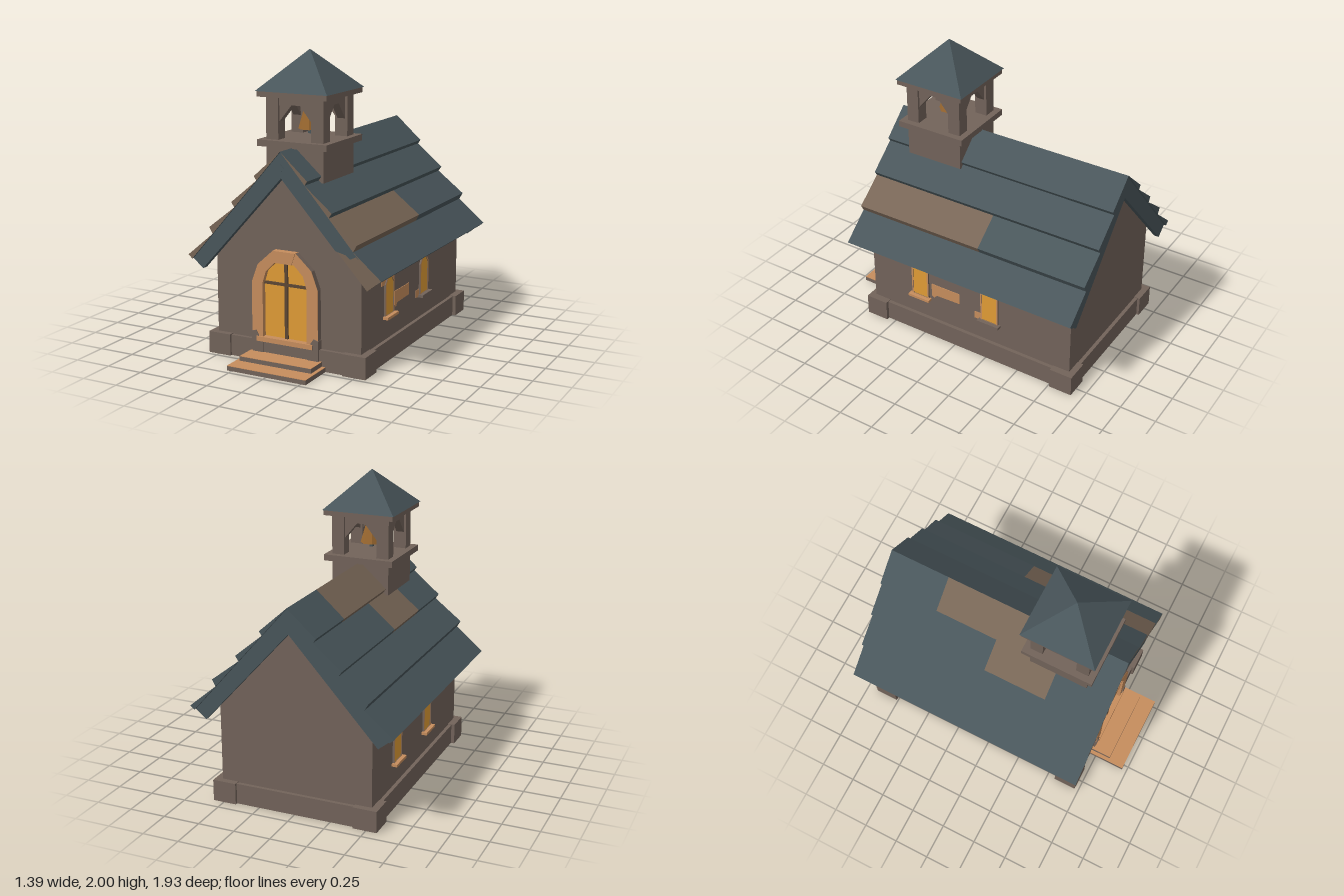
import * as THREE from 'three';

const mat = (name, color, side = THREE.FrontSide) => {
  const m = new THREE.MeshStandardMaterial({ color, side });
  m.name = name;
  return m;
};

export function createModel() {
  const stone = mat('stone', 0x72635a, THREE.DoubleSide);
  const slate = mat('slate', 0x49565b);
  const wood = mat('bareWood', 0x786656);
  const trim = mat('trim', 0xc68d5d, THREE.DoubleSide);
  const glass = mat('glass', 0xe09c36);
  const dark = mat('darkWood', 0x5c4733);
  const bronze = mat('bronze', 0x99672f);

  const model = new THREE.Group();
  model.name = 'chapel';

  const add = (name, geo, material, parent = model) => {
    const m = new THREE.Mesh(geo, material);
    m.name = name;
    parent.add(m);
    return m;
  };
  // box from its min and max corners
  const box = (name, x0, x1, y0, y1, z0, z1, material, parent) => {
    const m = add(name, new THREE.BoxGeometry(x1 - x0, y1 - y0, z1 - z0), material, parent);
    m.position.set((x0 + x1) / 2, (y0 + y1) / 2, (z0 + z1) / 2);
    return m;
  };
  // stone box standing on the ground without its underside, or without top and underside
  const openBox = (name, x0, x1, y0, y1, z0, z1, openTop = false) => {
    const geo = box(name, x0, x1, y0, y1, z0, z1, stone).geometry;
    const first = openTop ? 12 : 18;
    geo.setIndex([...geo.index.array].filter((_, i) => i < first || i >= 24));
    geo.clearGroups();
  };
  // outline in x,y pushed from z0 to z1, with an optional hole
  const slab = (name, pts, z0, z1, material, parent, hole) => {
    const toV = (l) => l.map(([x, y]) => new THREE.Vector2(x, y));
    const shape = new THREE.Shape(toV(pts));
    if (hole) shape.holes.push(new THREE.Path(toV(hole)));
    const geo = new THREE.ExtrudeGeometry(shape, { depth: z1 - z0, bevelEnabled: false });
    geo.translate(0, 0, z0);
    return add(name, geo, material, parent);
  };
  const flip = (pts, s) => pts.map(([x, y]) => [x * s, y]);
  // closed outline from its right half
  const sym = (half) => [...half, ...flip(half, -1).reverse()];

  // walls, with a raised floor inside the plinth
  slab('walls', [[-0.525, 0.13], [0.525, 0.13], [0.525, 0.69], [0, 1.28], [-0.525, 0.69]], -0.88, 0.68, stone);
  openBox('rearPlinth', -0.412, 0.412, 0, 0.14, -0.905, -0.8);
  for (const s of [-1, 1]) {
    const span = (a, b) => [Math.min(s * a, s * b), Math.max(s * a, s * b)];
    openBox('sidePlinth', ...span(0.45, 0.55), 0, 0.14, -0.762, 0.56);
    openBox('frontPlinth', ...span(0.24, 0.412), 0, 0.14, 0.6, 0.705);
    for (const z of [-0.842, 0.64])
      openBox('cornerBlock', ...span(0.412, 0.574), 0, 0.145, z - 0.081, z + 0.081);
    openBox('jambBase', ...span(0.16, 0.24), 0, 0.14, 0.66, 0.72);
    slab('jambFoot', flip([[0.19, 0.14], [0.243, 0.14], [0.243, 0.2], [0.21, 0.21], [0.19, 0.18]], s), 0.68, 0.726, stone);
  }

  // steps: stone risers with pale treads
  openBox('lowerRiser', -0.285, 0.285, 0, 0.03, 0.7, 0.965, true);
  box('lowerTread', -0.285, 0.285, 0.029, 0.032, 0.7, 0.965, trim);
  openBox('upperRiser', -0.26, 0.26, 0.032, 0.062, 0.7, 0.85, true);
  box('upperTread', -0.26, 0.26, 0.061, 0.064, 0.7, 0.85, trim);
  openBox('doorBase', -0.16, 0.16, 0, 0.14, 0.66, 0.712);

  // arched door: stone surround, trim lining and face
  const door = new THREE.Group();
  door.name = 'door';
  model.add(door);
  const opening = sym([[0.16, 0.15], [0.16, 0.53], [0.135, 0.61], [0.07, 0.675]]);
  const lining = sym([[0.168, 0.142], [0.168, 0.532], [0.142, 0.616], [0.073, 0.683]]);
  const surround = sym([[0.24, 0.14], [0.24, 0.53], [0.195, 0.65], [0.085, 0.75]]);
  slab('doorSurround', surround, 0.67, 0.718, stone, door, lining);
  slab('doorLining', lining, 0.67, 0.718, trim, door, opening);
  slab('doorFace', surround, 0.718, 0.721, trim, door, opening);
  slab('keystone', sym([[0.055, 0.675], [0.082, 0.753]]), 0.68, 0.727, trim, door);
  slab('doorGlass', opening, 0.682, 0.688, glass, door);
  box('doorMullion', -0.011, 0.011, 0.17, 0.675, 0.685, 0.7, dark, door);
  box('doorBar', -0.16, 0.16, 0.522, 0.54, 0.685, 0.7, dark, door);
  box('threshold', -0.205, 0.205, 0.14, 0.172, 0.68, 0.732, [stone, stone, trim, trim, trim, trim], door);

  // pointed side windows
  const arch = (w, y0, y1, y2) => [[-w, y0], [w, y0], [w, y1], [0, y2], [-w, y1]];
  const windowAt = (s, z, sill) => {
    const g = new THREE.Group();
    g.name = 'sideWindow';
    g.position.set(s * 0.525, 0, z);
    g.rotation.y = s * Math.PI / 2;
    model.add(g);
    slab('windowFrame', arch(0.068, 0.29, 0.515, 0.6), -0.01, 0.012, [trim, stone], g, arch(0.056, 0.305, 0.51, 0.58));
    slab('windowGlass', arch(0.058, 0.3, 0.512, 0.583), 0.001, 0.008, glass, g);
    box('windowSill', -0.083, 0.083, 0.285, 0.303, -0.01, 0.038, sill, g);
    return g;
  };
  const frontWindow = windowAt(1, 0.285, trim);
  const rearWindow = windowAt(1, -0.27, stone);
  windowAt(-1, 0.08, trim);
  windowAt(-1, -0.47, trim);

  // exposed masonry patches
  box('topPatch', -0.115, 0.083, 0.512, 0.595, -0.002, 0.004, trim, frontWindow);
  slab('wallPatch', [[0.09, 0.43], [0.315, 0.43], [0.315, 0.35], [0.13, 0.345], [0.11, 0.32], [0.09, 0.335]], -0.002, 0.004, trim, frontWindow);
  box('lowPatch', -0.12, -0.06, 0.29, 0.342, -0.002, 0.004, trim, rearWindow);

  // roof: deck, gable boards and stepped courses of wedge-shaped planks
  const rows = [
    [[0, 1.4], [0.19, 1.23], [0.172, 1.203]],
    [[0.172, 1.203], [0.36, 1.047], [0.338, 1.014]],
    [[0.338, 1.014], [0.53, 0.865], [0.506, 0.822]],
    [[0.506, 0.822], [0.697, 0.662], [0.667, 0.638]],
  ];
  // splits along z for each course: [back, front, is bare wood]
  const plain = [[-0.965, 0.1, false], [0.1, 0.76, false]];
  const courses = {
    '1': [plain, plain, [[-0.965, -0.18, false], [-0.18, 0.345, true], [0.345, 0.76, true]], [[-0.965, -0.62, false], [-0.62, -0.02, false], [-0.02, 0.76, false]]],
    '-1': [[[-0.965, -0.54, false], [-0.54, 0.3, true], [0.3, 0.76, false]],
      [[-0.965, -0.1, false], [-0.1, 0.35, true], [0.35, 0.76, false]], plain, [[-0.965, 0.29, false], [0.29, 0.76, false]]],
  };
  const board = [[0, 1.399], [0.664, 0.64], [0.59, 0.58], [0, 1.23]];
  const broken = [[0, 1.399], [0.56, 0.757], [0.52, 0.79], [0.48, 0.77], [0.45, 0.795], [0.38, 0.811], [0, 1.23]];
  for (const s of [1, -1]) {
    slab('roofDeck', flip([[0, 1.395], [0.655, 0.645], [0.622, 0.618], [0, 1.27]], s), -0.93, 0.72, slate);
    slab('rearGableBoard', flip(board, s), -0.95, -0.915, slate);
    slab('frontRafter', flip(board, s), 0.705, 0.737, s > 0 ? wood : slate);
    slab('frontGableBoard', flip(s > 0 ? broken : board, s), 0.737, 0.75, slate);
    rows.forEach((profile, i) => {
      for (const [z0, z1, bare] of courses[s][i]) {
        const face = bare ? wood : slate;
        slab('roofPlank', flip(profile, s), z0, z1, [z1 > 0.7 ? wood : face, face]);
      }
    });
  }
  const peg = box('gablePeg', -0.016, 0.016, 1.28, 1.312, 0.74, 0.757, slate);
  peg.rotation.z = Math.PI / 4;

  // bell tower
  const tower = new THREE.Group();
  tower.name = 'bellTower';
  tower.position.z = 0.368;
  model.add(tower);
  box('towerBase', -0.206, 0.206, 1.185, 1.4, -0.206, 0.206, stone, tower);
  box('towerLedge', -0.249, 0.249, 1.395, 1.437, -0.249, 0.249, stone, tower);
  box('towerCornice', -0.249, 0.249, 1.71, 1.748, -0.249, 0.249, stone, tower);
  const spandrel = sym([[0.12, 1.715], [0.12, 1.55], [0.03, 1.66]]);
  for (let i = 0; i < 4; i++) {
    const side = new THREE.Group();
    side.name = 'belfrySide';
    side.rotation.y = i * Math.PI / 2;
    tower.add(side);
    box('belfryPost', 0.118, 0.206, 1.43, 1.715, 0.118, 0.206, stone, side);
    slab('belfryArch', spandrel, 0.135, 0.19, stone, side);
  }
  const spireGeo = new THREE.ConeGeometry(0.257 * Math.SQRT2, 0.255, 4, 1).rotateY(Math.PI / 4).toNonIndexed();
  spireGeo.computeVertexNormals();
  add('towerRoof', spireGeo, slate, tower).position.y = 1.8725;

  // bell
  const bellGeo = new THREE.CylinderGeometry(0.04, 0.077, 0.13, 8).rotateY(Math.PI / 8).toNonIndexed();
  bellGeo.computeVertexNormals();
  add('bell', bellGeo, bronze, tower).position.y = 1.555;
  box('bellRod', -0.011, 0.011, 1.46, 1.715, -0.011, 0.011, slate, tower);

  return model;
}
